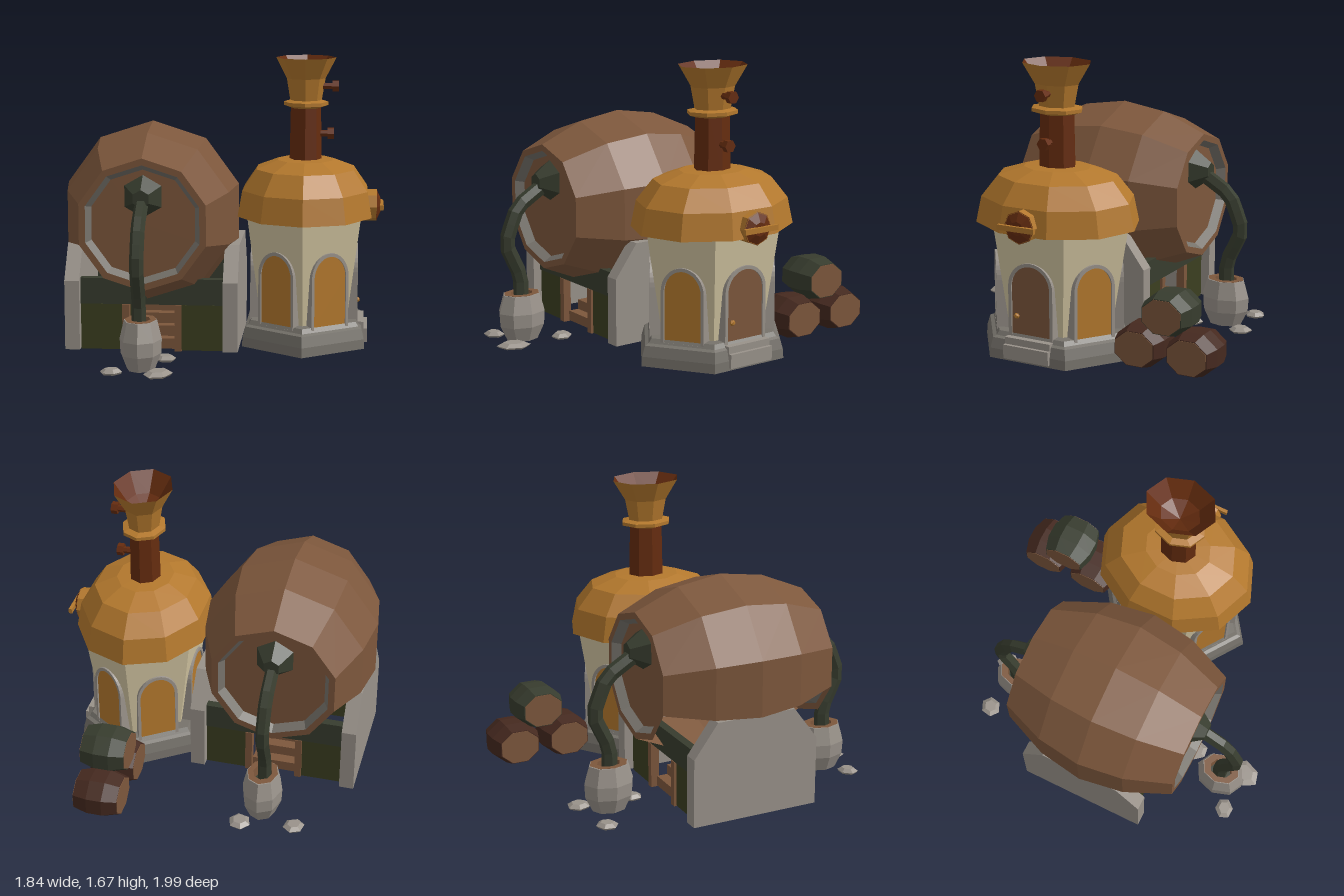
import * as THREE from 'three';

const mat = (name, color, side = THREE.FrontSide) =>
  Object.assign(new THREE.MeshStandardMaterial({ color, side, flatShading: true }), { name });
const wood = mat('wood', 0x7d573c, THREE.DoubleSide);
const darkWood = mat('dark wood', 0x45291f);
const stone = mat('light stone', 0x99928a);
const slate = mat('dark stone', 0x76726b, THREE.DoubleSide);
const plaster = mat('plaster', 0xd2c5a1, THREE.DoubleSide);
const copper = mat('copper', 0xb3782d);
const rust = mat('rust', 0x652c0f);
const moss = mat('dark green metal', 0x373c2e);
const olive = mat('olive panel', 0x3b3e20);

const V = (x, y, z) => new THREE.Vector3(x, y, z);
const PI = Math.PI;

function add(parent, name, geometry, material, x = 0, y = 0, z = 0) {
  const mesh = new THREE.Mesh(geometry, material);
  mesh.name = name;
  mesh.position.set(x, y, z);
  parent.add(mesh);
  return mesh;
}
function group(parent, name, x = 0, y = 0, z = 0) {
  const g = new THREE.Group();
  g.name = name;
  g.position.set(x, y, z);
  parent.add(g);
  return g;
}
const box = (w, h, d) => new THREE.BoxGeometry(w, h, d);
// Profile is a list of [radius, height] pairs, bottom to top on the outside
const lathe = (pts, n, start = 0, length = 2 * PI) =>
  new THREE.LatheGeometry(pts.map(p => new THREE.Vector2(...p)), n, start, length);

// Round-topped outline standing on y = 0
function archPath(w, h, PathType) {
  const p = new PathType(), r = w / 2;
  p.moveTo(-r, 0);
  p.lineTo(r, 0);
  p.lineTo(r, h - r);
  p.absarc(0, h - r, r, 0, PI, false);
  p.lineTo(-r, 0);
  return p;
}
function arch(w, h, depth, border = 0) {
  const s = archPath(w, h, THREE.Shape);
  if (border) s.holes.push(archPath(w - 2 * border, h - border, THREE.Path));
  return new THREE.ExtrudeGeometry(s, { depth, bevelEnabled: false, curveSegments: 8 });
}

// Flattened pebble
function pebble(parent, x, z, rx, rz, turn) {
  const g = lathe([[0, 0], [0.85, 0], [1, 0.4], [0.6, 1], [0, 1]], 6);
  g.scale(rx, 0.03, rz);
  add(parent, 'pebble', g, stone, x, 0, z).rotation.y = turn;
}

function buildTower(root) {
  const tower = group(root, 'tower', 0.465, 0, 0.04);
  tower.scale.x = 0.83;

  // Hollow plinth with a plaster floor above it
  add(tower, 'base', lathe([[0.49, 0.015], [0.485, 0.07], [0.465, 0.13], [0.44, 0.14],
    [0.42, 0.165], [0.25, 0.165]], 6), slate);
  add(tower, 'floor', lathe([[0, 0.165], [0.25, 0.165]], 6), plaster);
  add(tower, 'walls', lathe([[0.345, 0.16], [0.45, 0.765]], 6), plaster);

  // Arched openings on all six walls, the door on +x
  for (let i = 0; i < 6; i++) {
    const isDoor = i === 1;
    const wall = group(tower, isDoor ? 'door' : 'window', 0, 0.15, 0);
    wall.rotation.y = PI / 6 + i * PI / 3;
    add(wall, 'frame', arch(0.285, 0.435, 0.1, 0.02), stone, 0, 0, 0.275);
    add(wall, 'panel', arch(0.255, 0.418, 0.08), isDoor ? wood : copper, 0, 0, 0.284);
    if (isDoor) {
      add(wall, 'doorknob', new THREE.IcosahedronGeometry(0.018), copper, -0.09, 0.12, 0.372);
      add(wall, 'doorstep', box(0.29, 0.04, 0.09), stone, 0, -0.02, 0.375);
      add(wall, 'lowerDoorstep', box(0.29, 0.08, 0.07), stone, 0, -0.08, 0.41);
    }
  }

  add(tower, 'roof', lathe([[0, 0.76], [0.488, 0.76], [0.455, 0.91], [0.355, 1.03], [0.2, 1.08], [0, 1.09]], 10), copper);
  add(tower, 'chimney', lathe([[0.112, 1.06], [0.105, 1.4]], 8), rust);
  add(tower, 'chimneyFunnel', lathe([[0.105, 1.38], [0.155, 1.395], [0.155, 1.415],
    [0.11, 1.425], [0.135, 1.55], [0.21, 1.67]], 8), copper);
  add(tower, 'funnelInside', lathe([[0.21, 1.67], [0.12, 1.56], [0, 1.5]], 8), rust);

  // Bolts on the chimney
  for (const [x, y] of [[0.16, 1.505], [0.13, 1.23]]) {
    const bolt = (r, length) => new THREE.CylinderGeometry(r, r, length, 6).rotateZ(PI / 2);
    add(tower, 'boltShaft', bolt(0.02, 0.12), rust, x - 0.02, y, 0);
    add(tower, 'boltHead', bolt(0.036, 0.045), rust, x + 0.045, y, 0);
  }

  // Round hatch at the roof edge above the door
  const hatch = group(tower, 'hatch', 0.45, 0.815, 0.005);
  add(hatch, 'hatchRim', new THREE.CylinderGeometry(0.092, 0.095, 0.12, 8).rotateZ(-PI / 2), copper, -0.01);
  add(hatch, 'hatchCover', new THREE.CylinderGeometry(0.04, 0.095, 0.03, 8).rotateZ(-PI / 2), rust, 0.062);
  add(hatch, 'hatchBar', box(0.025, 0.03, 0.23), copper, 0.085, 0, 0);
}

function buildBigBarrel(root) {
  const barrel = group(root, 'bigBarrel', -0.42, 0, 0.08);

  // Stave shell, open on the underside at the left
  const shell = lathe([[0.373, -0.53], [0.485, -0.265], [0.526, 0], [0.485, 0.265], [0.373, 0.53]],
    8, 0, 1.6 * PI).rotateX(PI / 2);
  add(barrel, 'shell', shell, wood, 0, 0.775, 0);

  for (const turn of [0, PI]) {
    const end = group(barrel, turn ? 'backEnd' : 'frontEnd');
    end.rotation.y = turn;
    const put = (name, pts, m) => add(end, name, lathe(pts, 10).rotateX(PI / 2), m, 0, 0.775, 0);
    put('rim', [[0.373, 0.53], [0.335, 0.53]], wood);
    put('hoop', [[0.335, 0.53], [0.305, 0.48]], slate);
    put('lid', [[0.305, 0.48], [0, 0.48]], wood);

    // Bent spout with a flared collar running into the pot
    const collar = new THREE.CylinderGeometry(0.05, 0.12, 0.1, 6).rotateX(PI / 2);
    add(end, 'spoutCollar', collar, moss, 0, 0.93, 0.53);
    const pts = [V(0, 0.94, 0.48), V(0, 0.895, 0.545), V(0, 0.795, 0.705), V(0, 0.588, 0.786), V(0, 0.385, 0.695), V(0, 0.2, 0.695)];
    const path = new THREE.CatmullRomCurve3(pts, false, 'catmullrom', 0.15);
    add(end, 'spout', new THREE.TubeGeometry(path, 12, 0.046, 6), moss).scale.x = 0.85;

    const pot = group(end, 'pot', 0.01 * (turn ? -1 : 1), 0.005, 0.695);
    pot.scale.x = 0.78;
    add(pot, 'potBody', lathe([[0, 0], [0.1, 0], [0.145, 0.09], [0.15, 0.17], [0.118, 0.275], [0.108, 0.275]], 8), stone);
    add(pot, 'potLip', lathe([[0.114, 0.278], [0.07, 0.278], [0.065, 0.22]], 8), wood);
    add(pot, 'potWater', lathe([[0.08, 0.22], [0, 0.22]], 8), moss);
  }
}

function buildStand(root) {
  const stand = group(root, 'stand', -0.395, 0, 0.065);

  // Side walls with sloped upper corners
  const side = new THREE.Shape([[-0.385, 0.02], [0.385, 0.02], [0.385, 0.42], [0.24, 0.615], [-0.24, 0.615], [-0.385, 0.42]]
    .map(p => new THREE.Vector2(...p)));
  for (const x of [-0.495, 0.41]) {
    const g = new THREE.ExtrudeGeometry(side, { depth: 0.085, bevelEnabled: false }).rotateY(PI / 2);
    add(stand, 'sideWall', g, stone, x, 0, 0);
  }
  for (const turn of [0, PI]) {
    const face = group(stand, turn ? 'backFace' : 'frontFace');
    face.rotation.y = turn;
    add(face, 'beam', box(0.82, 0.15, 0.05), moss, 0, 0.355, 0.315);
    for (const s of [-1, 1]) {
      add(face, 'panel', box(0.25, 0.265, 0.03), olive, s * 0.285, 0.145, 0.315);
      add(face, 'doorPost', box(0.04, 0.27, 0.05), wood, s * 0.15, 0.145, 0.32);
    }
    // Steps rising towards the middle
    for (let i = 0; i < 4; i++) {
      add(face, 'step', box(0.26, 0.06, 0.075), wood, 0, 0.045 + i * 0.06, 0.27 - i * 0.065);
    }
  }
}

// Small barrel lying along x
function smallBarrel(root, y, z, staves) {
  const b = group(root, 'smallBarrel', 0.49, y, z);
  b.scale.y = 0.83;
  const lay = g => g.rotateY(PI / 8).rotateZ(-PI / 2);
  add(b, 'staves', lay(lathe([[0.11, -0.13], [0.13, -0.13], [0.157, -0.045], [0.157, 0.045],
    [0.13, 0.13], [0.112, 0.13]], 8)), staves);
  for (const s of [-1, 1]) {
    add(b, 'lid', lay(new THREE.CylinderGeometry(0.125, 0.125, 0.008, 8)), wood, s * 0.129);
  }
}

export function createModel() {
  const root = new THREE.Group();
  root.name = 'brewery';
  buildTower(root);
  buildBigBarrel(root);
  buildStand(root);
  smallBarrel(root, 0.137, -0.53, darkWood);
  smallBarrel(root, 0.137, -0.85, darkWood);
  smallBarrel(root, 0.345, -0.695, moss);

  pebble(root, -0.56, 0.88, 0.065, 0.055, 0.4);
  pebble(root, -0.3, 0.9, 0.075, 0.1, -0.4);
  pebble(root, -0.62, -0.72, 0.065, 0.06, 0.9);
  pebble(root, -0.31, -0.76, 0.065, 0.07, 0.3);
  pebble(root, -0.33, -0.44, 0.065, 0.055, 1.2);
  pebble(root, -0.3, 0.57, 0.06, 0.07, 0.7);
  return root;
}
